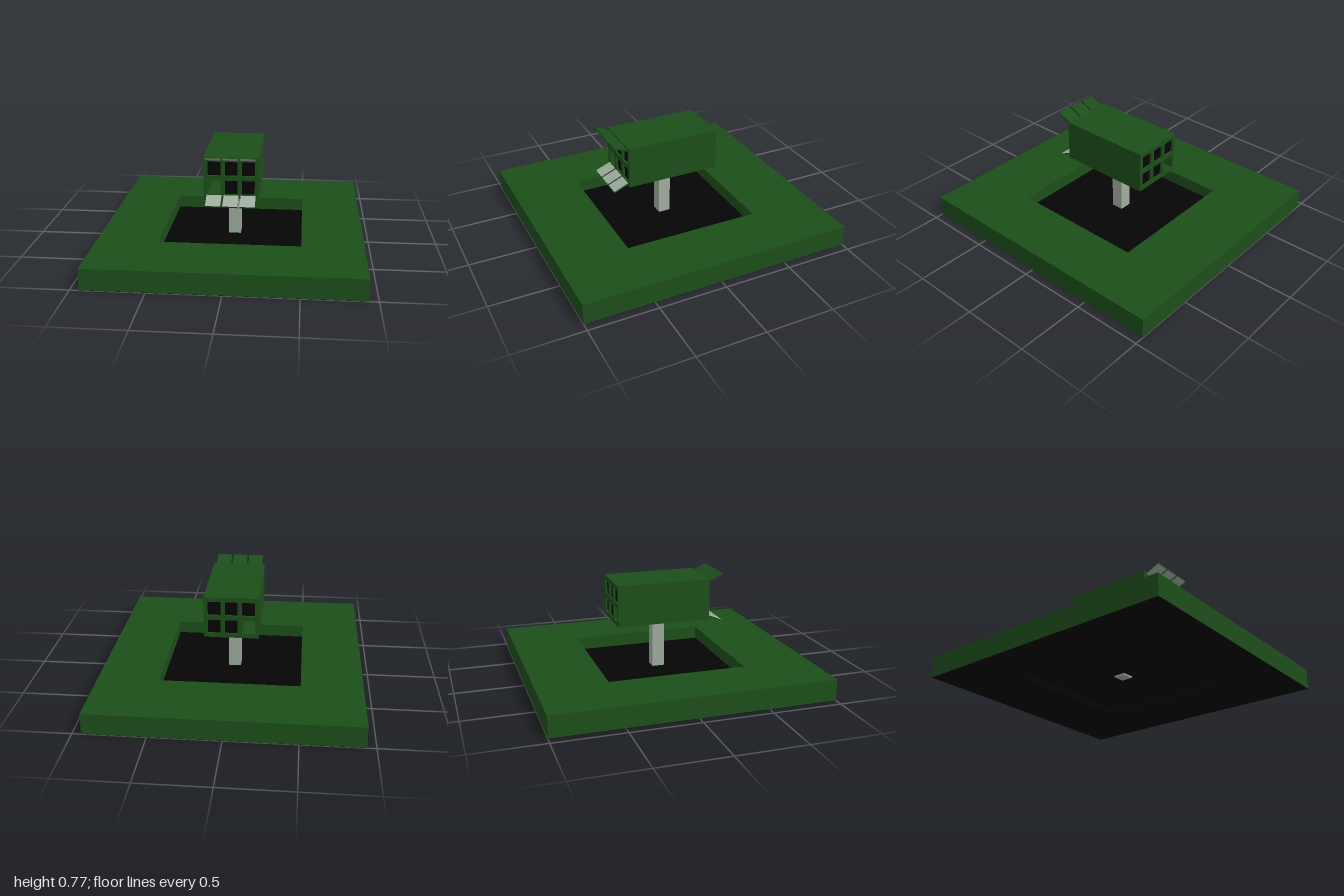
import * as THREE from 'three';

const material = (name, color) => {
  const m = new THREE.MeshStandardMaterial({ color });
  m.name = name;
  return m;
};

// Rectangle outline added to a Shape or Path
function rect(path, x0, y0, x1, y1) {
  path.moveTo(x0, y0);
  path.lineTo(x1, y0);
  path.lineTo(x1, y1);
  path.lineTo(x0, y1);
  path.closePath();
  return path;
}

// Flat square-holed ring standing on y = 0
function ring(halfX, halfZ, halfHole, height) {
  const shape = rect(new THREE.Shape(), -halfX, -halfZ, halfX, halfZ);
  shape.holes.push(rect(new THREE.Path(), -halfHole, -halfHole, halfHole, halfHole));
  return new THREE.ExtrudeGeometry(shape, { depth: height, bevelEnabled: false }).rotateX(-Math.PI / 2);
}

export function createModel() {
  const green = material('dark green', 0x1d4f1a);
  const black = material('black', 0x050505);
  const grey = material('pale grey', 0xa0aea0);
  const model = new THREE.Group();
  model.name = 'launcherOnPlinth';

  const add = (name, geometry, mat, x = 0, y = 0, z = 0, parent = model) => {
    const mesh = new THREE.Mesh(geometry, mat);
    mesh.name = name;
    mesh.position.set(x, y, z);
    parent.add(mesh);
    return mesh;
  };

  // Base: green frame on a black underside, with a thin sunken floor
  add('baseFrame', ring(0.9365, 1, 0.5, 0.152), green, 0, 0.002, 0);
  add('baseUnderside', ring(0.935, 0.9985, 0.4985, 0.057), black);
  add('pitFloor', new THREE.BoxGeometry(1, 0.004, 1), black, 0, 0.058, 0);

  // Square post, its foot just showing under the floor
  add('post', new THREE.BoxGeometry(0.09, 0.392, 0.09), grey, 0, 0.242, 0);

  // Housing with six cells running right through
  const columns = [-0.12, 0, 0.12];
  const rows = [0.515, 0.651];
  const cellW = 0.091, cellH = 0.102;
  const shell = rect(new THREE.Shape(), -0.194, 0.434, 0.194, 0.735);
  for (const x of columns) {
    for (const y of rows) {
      shell.holes.push(rect(new THREE.Path(),
        x - cellW / 2, y - cellH / 2, x + cellW / 2, y + cellH / 2));
    }
  }
  const shellGeometry = new THREE.ExtrudeGeometry(shell, { depth: 0.69, bevelEnabled: false });
  add('housing', shellGeometry, green, 0, 0, -0.345);

  // Dark cell fillings; the lower right cell stays empty
  const filling = new THREE.BoxGeometry(cellW, cellH, 0.66);
  columns.forEach((x, i) => rows.forEach((y, j) => {
    if (i !== 0 || j !== 0) add('cellFilling', filling, black, x, y, 0);
  }));

  // Open flaps above and below the front, grey on the inside
  const flapLength = 0.118;
  const flapGeometry = new THREE.BoxGeometry(0.106, 0.012, flapLength);
  for (const side of [1, -1]) {
    const mats = [green, green, green, green, green, green];
    mats[side > 0 ? 3 : 2] = grey;
    for (const x of columns) {
      const hinge = new THREE.Group();
      hinge.name = side > 0 ? 'upperFlap' : 'lowerFlap';
      hinge.position.set(x, 0.586 + side * 0.132, 0.345);
      hinge.rotation.x = -side * 0.4;
      add('flapPanel', flapGeometry, mats, 0, 0, flapLength / 2, hinge);
      model.add(hinge);
    }
  }
  return model;
}
